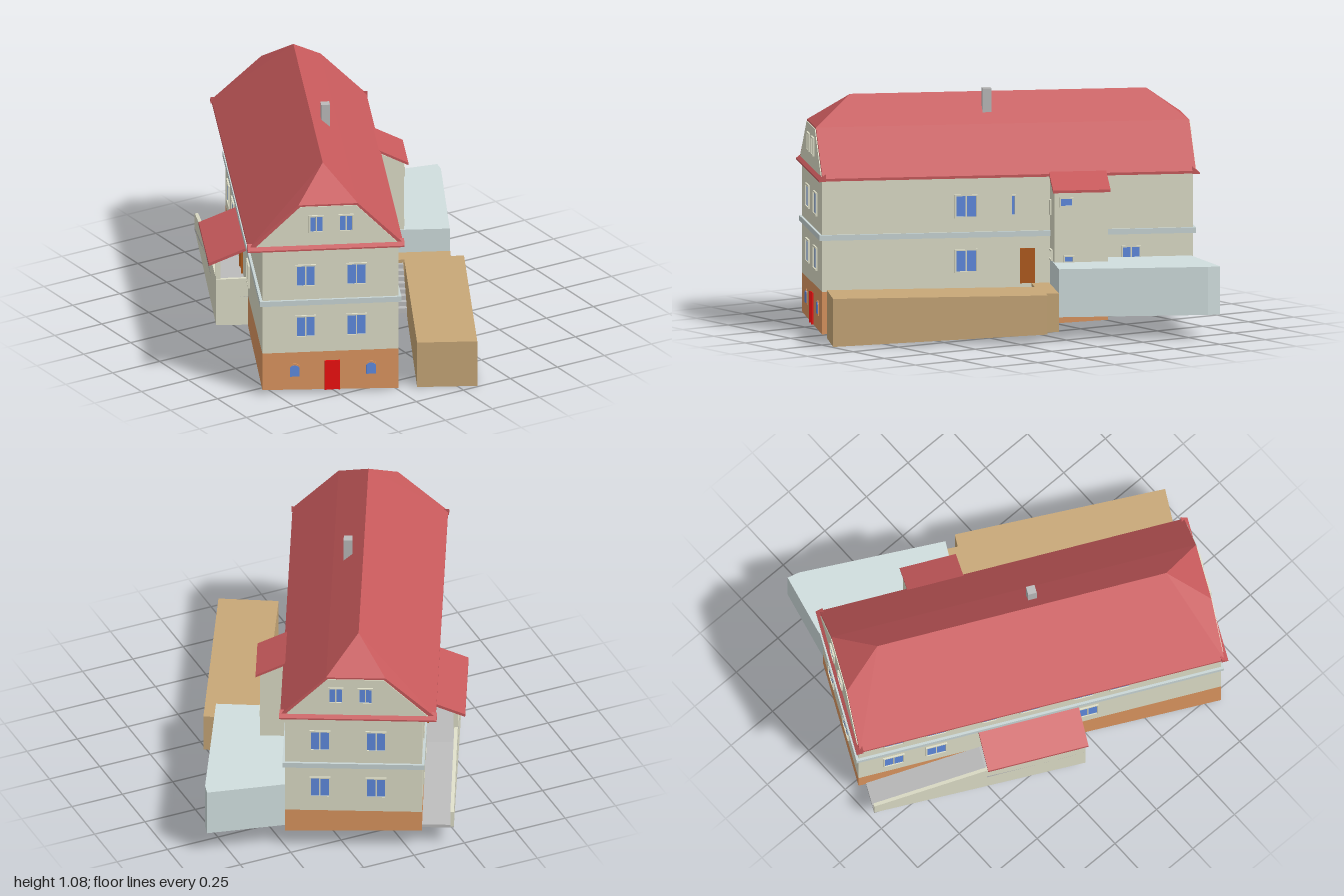
import * as THREE from 'three';
import { ConvexGeometry } from 'three/addons/geometries/ConvexGeometry.js';

const COLORS = {
  cream: 0xdedec8, orange: 0xdc9660, red: 0xc85a5c, blue: 0x5f8be0, band: 0xc9d6d6,
  brown: 0xc8a878, wood: 0xb05a1c, door: 0xee1010, annex: 0xd0dede, grey: 0xbbbbbb,
};
const mats = {};
for (const k in COLORS) {
  mats[k] = new THREE.MeshStandardMaterial({ color: COLORS[k], flatShading: true });
}

// House footprint in its own axes: x across, z along the ridge
const L = -0.472, R = 0.148, F = 0.855, B = -0.845, MID = (L + R) / 2;
const ground = (x, z) => 0.005 + (R - x) * 0.024 + (F - z) * 0.047;

function mesh(parent, name, geo, mat) {
  const m = new THREE.Mesh(geo, mats[mat]);
  m.name = name;
  parent.add(m);
  return m;
}

function box(parent, name, mat, x0, x1, y0, y1, z0, z1) {
  const m = mesh(parent, name, new THREE.BoxGeometry(x1 - x0, y1 - y0, z1 - z0), mat);
  m.position.set((x0 + x1) / 2, (y0 + y1) / 2, (z0 + z1) / 2);
  return m;
}

// Upright prism on an [x, z] outline; bottom and top are heights or functions of (x, z)
function prism(parent, name, mat, pts, bottom, top) {
  const shape = new THREE.Shape(pts.map(([x, z]) => new THREE.Vector2(x, -z)));
  const geo = new THREE.ExtrudeGeometry(shape, { depth: 1, bevelEnabled: false });
  geo.rotateX(-Math.PI / 2);
  const p = geo.attributes.position;
  for (let i = 0; i < p.count; i++) {
    const h = p.getY(i) > 0.5 ? top : bottom;
    p.setY(i, typeof h === 'function' ? h(p.getX(i), p.getZ(i)) : h);
  }
  geo.computeVertexNormals();
  return mesh(parent, name, geo, mat);
}
const rect = (x0, x1, z0, z1) => [[x0, z0], [x1, z0], [x1, z1], [x0, z1]];

// Wall frames: a group whose local x runs along the wall and +z points outward
function wallFrame(parent, name, side, at) {
  const g = new THREE.Group();
  g.name = name;
  g.rotation.y = { front: 0, right: Math.PI / 2, back: Math.PI, left: -Math.PI / 2 }[side];
  if (side === 'front' || side === 'back') g.position.z = at;
  else g.position.x = at;
  parent.add(g);
  // House coordinate along the wall to local x
  const sign = side === 'front' || side === 'left' ? 1 : -1;
  return { g, s: (v) => v * sign };
}

function windowAt(wall, v, y, w, h, panes = 2) {
  const g = new THREE.Group();
  g.name = 'window';
  g.position.set(wall.s(v), y, 0);
  wall.g.add(g);
  const t = 0.007, d = 0.008;
  for (const s of [-1, 1]) {
    const a = s * (w - t) / 2, b = s * (h - t) / 2;
    box(g, 'windowJamb', 'cream', a - t / 2, a + t / 2, -h / 2, h / 2, -0.002, d);
    box(g, 'windowRail', 'cream', -w / 2, w / 2, b - t / 2, b + t / 2, -0.002, d);
  }
  if (panes === 2) box(g, 'windowMullion', 'cream', -0.003, 0.003, -h / 2, h / 2, -0.002, 0.005);
  box(g, 'windowGlass', 'blue', -w / 2 + t, w / 2 - t, -h / 2 + t, h / 2 - t, -0.002, 0.003);
}

function doorAt(wall, v, w, y0, y1, mat) {
  const x = wall.s(v);
  box(wall.g, 'doorPanel', mat, x - w / 2, x + w / 2, y0, y1, -0.002, 0.004);
  for (const s of [-1, 1]) {
    const a = x + s * w / 2;
    box(wall.g, 'doorJamb', mat, a - 0.004, a + 0.004, y0, y1, -0.002, 0.009);
  }
}

function arched(wall, v, y, w, h) {
  const outline = (w, h) => {
    const s = new THREE.Shape();
    s.moveTo(-w / 2, -h / 2).lineTo(w / 2, -h / 2).lineTo(w / 2, h * 0.3);
    s.quadraticCurveTo(0, h * 0.7, -w / 2, h * 0.3);
    return s;
  };
  for (const [k, mat, d] of [[1, 'orange', 0.003], [0.78, 'blue', 0.006]]) {
    const geo = new THREE.ExtrudeGeometry(outline(w * k, h * k), { depth: d, bevelEnabled: false, curveSegments: 6 });
    mesh(wall.g, 'cellarWindow', geo, mat).position.set(wall.s(v), y, 0);
  }
}

function buildRoof(house) {
  const pts = [], V = (x, y, z) => pts.push(new THREE.Vector3(x, y, z));
  for (const s of [-1, 1]) {
    const z = s * 0.855;
    for (const x of [-0.535, 0.17]) { V(x, 0.708, z); V(x, 0.72, z); }
    for (const x of [-0.308, -0.038]) V(x, 0.925, z);
    V(-0.18, 1.055, s * 0.678);
    // Gable infill and the narrow skirt roof under it
    const gable = new THREE.Shape([[-0.5, 0.728], [0.142, 0.728], [-0.045, 0.917], [-0.3, 0.917]]
      .map(([x, y]) => new THREE.Vector2(x, y)));
    const g = mesh(house, 'gableWall', new THREE.ExtrudeGeometry(gable, { depth: 0.006, bevelEnabled: false }), 'cream');
    g.position.z = s > 0 ? 0.853 : -0.859;
    const zs = [s * 0.84, s * 0.872].sort((a, b) => a - b);
    prism(house, 'gableSkirt', 'red', rect(-0.54, 0.174, ...zs), 0.706,
      (x, z) => (Math.abs(z) > 0.85 ? 0.713 : 0.738));
  }
  mesh(house, 'mainRoof', new ConvexGeometry(pts), 'red');
  box(house, 'chimney', 'grey', -0.128, -0.088, 0.93, 1.08, 0.044, 0.084);
}

function buildPorch(house) {
  // Ramp up the left side to a landing, with parapet and canopy
  const out = -0.616, inn = out + 0.016, z0 = -0.81, z1 = -0.28, z2 = 0.18;
  const slope = (z) => 0.11 + 0.1 * (z - z0) / (z1 - z0);
  prism(house, 'ramp', 'grey', rect(out, L, z0, z1), (x, z) => slope(z) - 0.015, (x, z) => slope(z));
  box(house, 'landing', 'grey', out, L, 0.19, 0.21, z1, z2);
  prism(house, 'rampParapet', 'cream', rect(out, inn, z0, z1), ground, (x, z) => slope(z) + 0.07);
  prism(house, 'landingParapet', 'cream', rect(out, inn, z1, z2), ground, 0.28);
  prism(house, 'landingEndWall', 'cream', rect(out, L, z2 - 0.016, z2), ground, 0.28);
  const roofY = (x) => 0.365 + (x + 0.65) * 0.4;
  prism(house, 'porchRoof', 'red', rect(-0.65, L, -0.284, 0.186), (x) => roofY(x) - 0.014, (x) => roofY(x));
  for (const z of [-0.25, -0.04, 0.165]) {
    box(house, 'porchPost', 'cream', out, out + 0.02, 0.27, 0.37, z - 0.01, z + 0.01);
  }
  box(house, 'porchBeam', 'cream', out, out + 0.02, 0.352, 0.366, -0.27, 0.175);
}

function buildTerrace(house) {
  // Terrace with its steps, and the flat-roofed annex behind
  prism(house, 'terrace', 'brown', [[0.233, 0.845], [0.506, 0.857], [0.542, -0.12], [0.482, -0.122],
    [0.485, -0.18], [R, -0.185], [R, -0.105], [0.268, -0.1]],
  (x, z) => Math.max(0, 0.042 * (0.855 - z)), 0.22);
  for (let i = 0; i < 8; i++) {
    const z = -0.105 + i * 0.025;
    prism(house, 'step', 'grey', rect(0.165, 0.262, z, z + 0.025), ground, 0.205 - i * 0.02);
  }
  prism(house, 'annex', 'annex', [[R, -0.19], [0.483, -0.18], [0.51, -0.86], [0.499, -0.916], [R, -0.835]], 0.11, 0.33);
}

export function createModel() {
  const model = new THREE.Group();
  model.name = 'house';
  const house = new THREE.Group();
  house.name = 'houseBody';
  house.rotation.y = -THREE.MathUtils.degToRad(26);
  model.add(house);

  // Plinth, walls and string course
  prism(house, 'plinth', 'orange', rect(L, R, B, F), ground, 0.2);
  box(house, 'mainWalls', 'cream', L, R, 0.2, 0.712, B, F);
  const o = 0.012;
  box(house, 'stringCourse', 'band', L - o, R + o, 0.435, 0.46, B - o, F + o);

  // Stair block with a lean-to roof on the right side
  const bx = 0.275, bz0 = -0.435, bz1 = -0.19;
  prism(house, 'stairPlinth', 'orange', rect(R - 0.02, bx, bz0, bz1), ground, 0.2);
  prism(house, 'stairBlock', 'cream', rect(R - 0.02, bx, bz0, bz1), 0.2, (x) => (x > 0.2 ? 0.66 : 0.725));
  const lean = (x) => 0.662 + (0.295 - x) * 0.5;
  prism(house, 'stairRoof', 'red', rect(0.11, 0.295, -0.445, -0.182), (x) => lean(x) - 0.012, (x) => lean(x));

  buildRoof(house);
  buildPorch(house);
  buildTerrace(house);

  // Openings, wall by wall
  const front = wallFrame(house, 'frontOpenings', 'front', F);
  const back = wallFrame(house, 'backOpenings', 'back', B);
  const right = wallFrame(house, 'rightOpenings', 'right', R);
  const left = wallFrame(house, 'leftOpenings', 'left', L);
  for (const y of [0.328, 0.578]) {
    for (const x of [-0.276, -0.044]) windowAt(front, x, y, 0.095, 0.108);
    for (const x of [-0.265, -0.01]) windowAt(back, x, y, 0.095, 0.108);
    windowAt(right, 0.195, y, 0.105, 0.108);
    for (const z of [-0.68, -0.48]) windowAt(left, z, y, 0.1, 0.108);
  }
  for (const z of [-0.23, -0.04, 0.21, 0.38]) windowAt(left, z, 0.578, z === -0.23 ? 0.075 : 0.1, 0.108);
  windowAt(left, 0.23, 0.328, 0.1, 0.108);
  windowAt(right, -0.02, 0.578, 0.028, 0.1, 1);
  windowAt(right, -0.56, 0.328, 0.09, 0.108);
  doorAt(front, -0.154, 0.062, 0.012, 0.155, 'door');
  doorAt(right, -0.085, 0.06, 0.22, 0.38, 'wood');
  doorAt(left, -0.08, 0.08, 0.21, 0.385, 'wood');
  for (const x of [-0.326, 0.022]) arched(front, x, 0.11, 0.056, 0.07);

  const atticF = wallFrame(house, 'frontAtticOpenings', 'front', 0.859);
  const atticB = wallFrame(house, 'backAtticOpenings', 'back', -0.859);
  for (const x of [-0.075, 0.06]) {
    windowAt(atticF, MID + x + 0.01, 0.833, 0.07, 0.085);
    windowAt(atticB, MID + x + 0.02, 0.833, 0.07, 0.085);
  }
  const stairF = wallFrame(house, 'stairFrontOpenings', 'front', bz1);
  windowAt(stairF, 0.197, 0.355, 0.065, 0.05);
  windowAt(stairF, 0.18, 0.57, 0.025, 0.07, 1);
  const stairR = wallFrame(house, 'stairSideOpenings', 'right', bx);
  windowAt(stairR, -0.245, 0.605, 0.065, 0.045, 1);
  windowAt(stairR, -0.256, 0.345, 0.05, 0.035, 1);
  return model;
}
